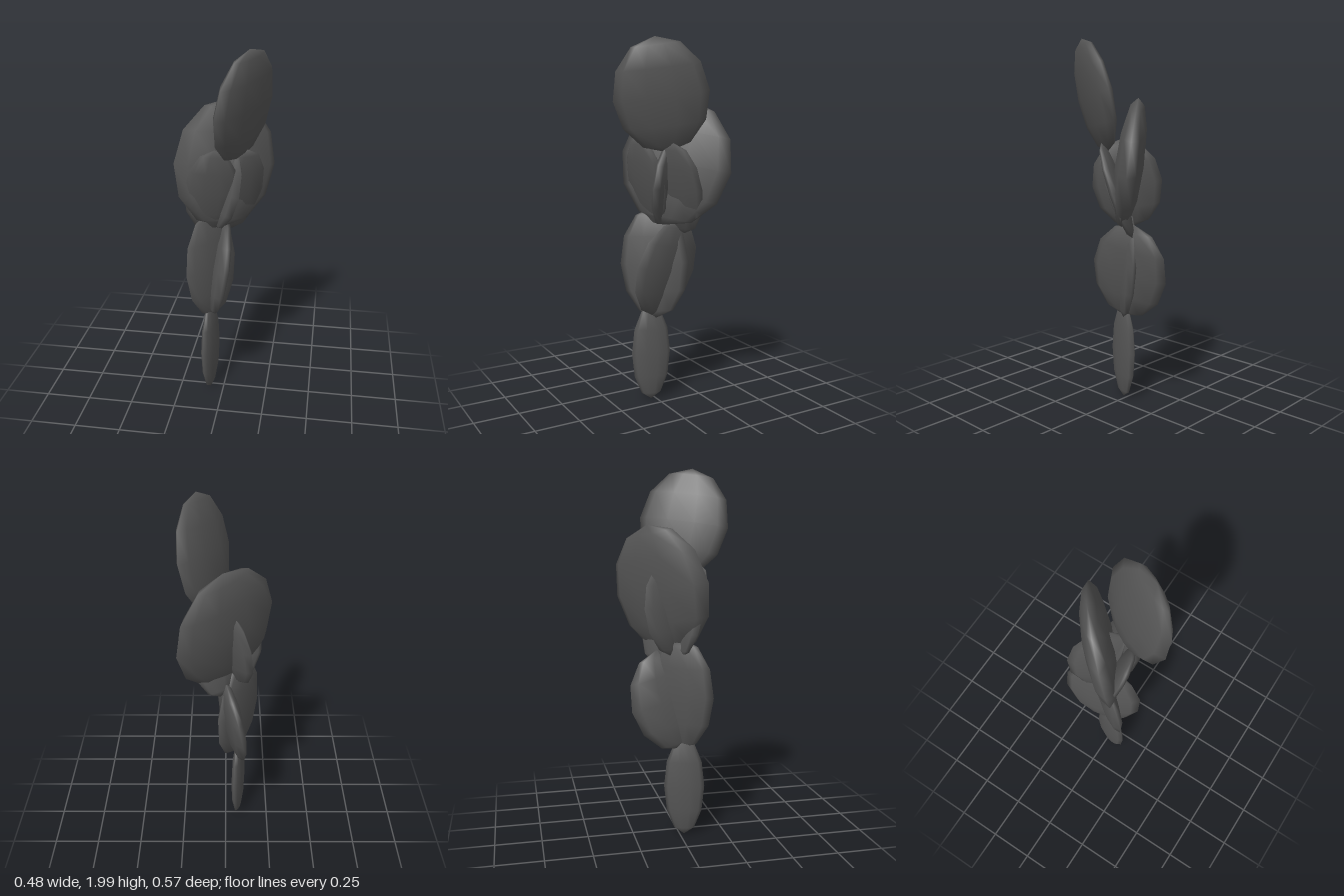
import * as THREE from 'three';

const padGrey = new THREE.MeshStandardMaterial({ color: 0x555555 });
padGrey.name = 'dark grey';

// A flattened low-poly ellipsoid: stem = half length vector, side = half width vector
function pad(name, centre, stem, side, thick) {
  const p = new THREE.Vector3(...stem);
  const q = new THREE.Vector3(...side);
  const width = q.length();
  const up = p.clone().normalize();
  q.addScaledVector(up, -q.dot(up)).setLength(width);
  const n = q.clone().cross(p).setLength(thick);
  const m = new THREE.Matrix4().makeBasis(q, p, n).setPosition(...centre);
  const geometry = new THREE.SphereGeometry(1, 10, 6).applyMatrix4(m);
  const mesh = new THREE.Mesh(geometry, padGrey);
  mesh.name = name;
  return mesh;
}

export function createModel() {
  const cactus = new THREE.Group();
  cactus.name = 'padCactus';
  cactus.add(
    // root pad
    pad('basePad', [-0.075, 0.285, 0.025], [0, 0.277, 0], [-0.028, 0, 0.107], 0.032),
    // two crossing pads on the root pad
    pad('lowerFrontPad', [-0.07, 0.8, 0.005], [-0.02, 0.31, 0], [0.11, 0.007, -0.155], 0.045),
    pad('lowerBackPad', [-0.035, 0.765, -0.052], [0.03, 0.268, -0.065], [-0.06, -0.045, -0.212], 0.052),
    // cluster of middle pads
    pad('largeBackPad', [-0.002, 1.36, -0.088], [0.015, 0.34, -0.07], [0.2425, -0.05, -0.1975], 0.077),
    pad('middleLeftPad', [0.075, 1.22, -0.065], [0.05, 0.25, 0.065], [0.115, 0, -0.075], 0.035),
    pad('middleRightPad', [-0.06, 1.25, 0.06], [0.03, 0.245, 0.06], [0.135, -0.01, -0.04], 0.04),
    pad('middleCrossPad', [-0.02, 1.25, -0.05], [0.05, 0.24, -0.005], [0.11, -0.03, 0.15], 0.042),
    // topmost pad
    pad('topPad', [0.108, 1.71, 0.062], [0.035, 0.29, 0.058], [0.118, 0.03, -0.217], 0.06)
  );
  return cactus;
}
